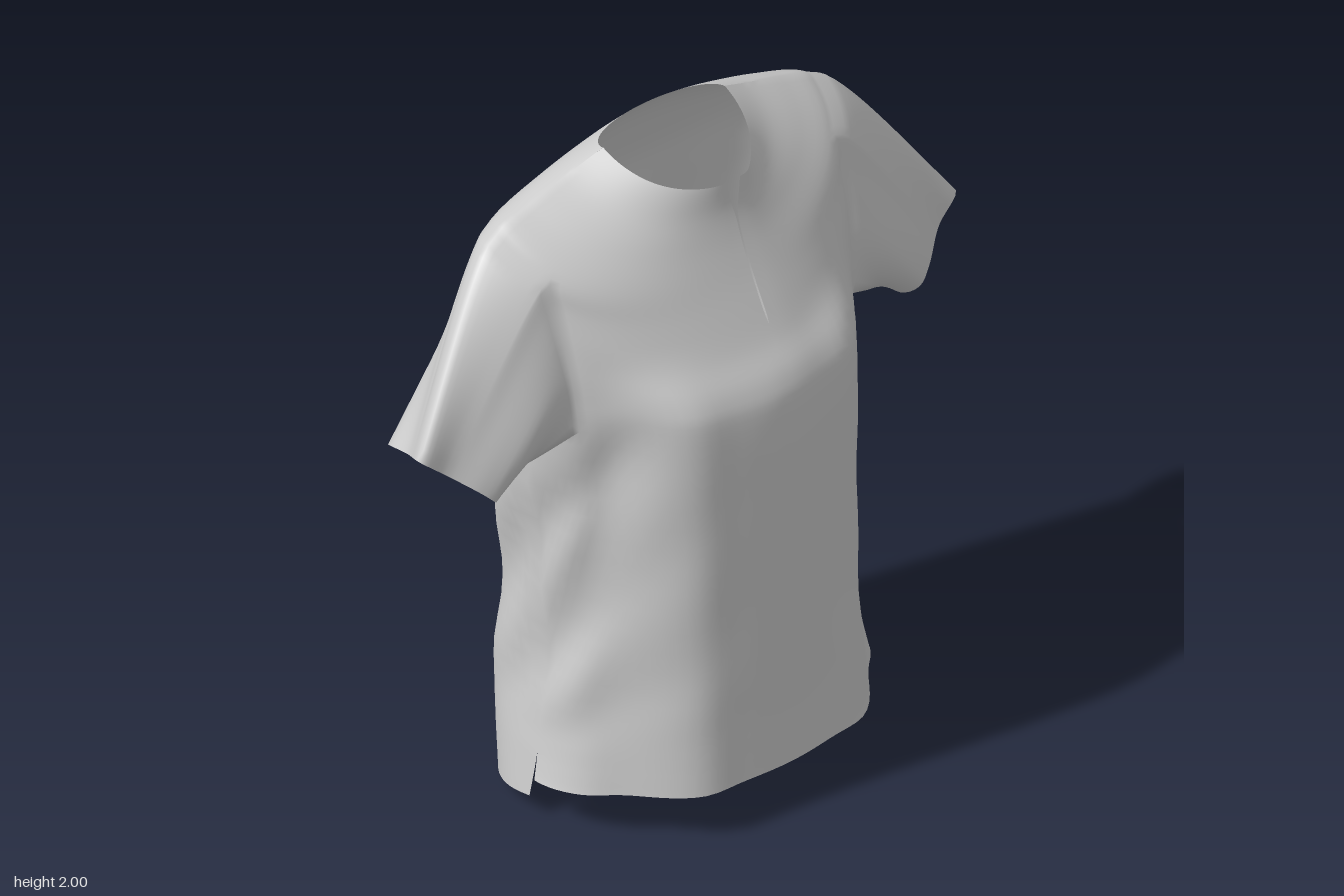
import * as THREE from 'three';
import { mergeVertices } from 'three/addons/utils/BufferGeometryUtils.js';

// Body rings, hem to neckline:
// ySide, yFront, yBack, halfWidth, zFront, zBack, zSide, front curve power, back curve power
const RINGS = [
  [0.10, 0.12, 0.03, 0.565, 0.415, -0.37, -0.01, 1, 0.8],
  [0.21, 0.24, 0.16, 0.545, 0.41, -0.395, -0.01, 1, 0.74],
  [0.36, 0.38, 0.34, 0.52, 0.405, -0.412, -0.015, 1, 0.68],
  [0.66, 0.66, 0.65, 0.495, 0.4, -0.395, -0.03, 1, 0.64],
  [1.00, 1.00, 1.00, 0.52, 0.395, -0.375, -0.06, 1, 0.6],
  [1.32, 1.27, 1.31, 0.55, 0.385, -0.355, -0.09, 1, 0.56],
  [1.47, 1.37, 1.45, 0.56, 0.36, -0.345, -0.1, 1, 0.55],
  [1.62, 1.46, 1.58, 0.57, 0.298, -0.335, -0.115, 1, 0.57],
  [1.77, 1.56, 1.71, 0.575, 0.243, -0.325, -0.135, 1, 0.64],
  [1.86, 1.65, 1.82, 0.57, 0.198, -0.295, -0.145, 0.98, 0.74],
  [1.91, 1.74, 1.90, 0.45, 0.16, -0.265, -0.14, 0.98, 0.84],
  [1.955, 1.82, 1.955, 0.32, 0.137, -0.235, -0.13, 0.98, 0.93],
  [2.00, 1.90, 1.985, 0.22, 0.13, -0.21, -0.11, 0.98, 1],
];
const STEP = 5, ROWS = (RINGS.length - 1) * STEP, COLS = 24;
// Armhole limits in the body grid
const HOLE = { bottom: 5 * STEP, top: 9 * STEP, front: 7, back: 8 };

// Sleeve opening, from its top crease round the back
const CUFF = new THREE.CatmullRomCurve3([
  [0.97, 1.36, -0.01], [0.92, 1.31, -0.12], [0.9, 1.28, -0.21], [0.85, 1.23, -0.265],
  [0.77, 1.165, -0.25], [0.74, 1.15, -0.1], [0.74, 1.15, 0.03], [0.77, 1.18, 0.07],
  [0.81, 1.22, 0.06], [0.89, 1.29, 0.01],
].map((p) => new THREE.Vector3(...p)), true);

const smooth = THREE.MathUtils.smoothstep;
const lerp = THREE.MathUtils.lerp;
const gauss = (d, w) => Math.exp(-(d * d) / (w * w));

// Catmull-Rom blend of the ring table
function ringAt(t) {
  const k = Math.min(Math.floor(t), RINGS.length - 2), f = t - k;
  const at = (n) => RINGS[THREE.MathUtils.clamp(n, 0, RINGS.length - 1)];
  return RINGS[0].map((_, c) => {
    const [a, b, d, e] = [at(k - 1)[c], at(k)[c], at(k + 1)[c], at(k + 2)[c]];
    return b + 0.5 * f * (d - a + f * (2 * a - 5 * b + 4 * d - e + f * (3 * (b - d) + e - a)));
  });
}

// Body point: side +1 left / -1 right, half +1 front / -1 back, column from side seam to centre
function bodyPoint(side, half, col, row) {
  const t = row / STEP, a = (col / COLS) * Math.PI / 2;
  const [ySide, yFront, yBack, w, zFront, zBack, zSide, pFront, pBack] = ringAt(t);
  const p = half > 0 ? pFront : pBack;
  const c = Math.pow(Math.max(Math.cos(a), 0), p), s = Math.pow(Math.sin(a), p);
  let x = w * c;
  let y = lerp(ySide, half > 0 ? yFront : yBack, s);
  let z = lerp(zSide, half > 0 ? zFront : zBack, s);

  // long diagonal drape folds across the flanks
  const flank = c * c * smooth(y, 0.25, 0.5) * (1 - smooth(y, 0.95, 1.25));
  x += 0.014 * flank * Math.cos((y - 0.75 - 1.4 * z) * 14);
  if (half > 0) {
    // flat front that turns in sharply beside the bust
    const flat = 1 - smooth(t, 5.5, 7.5);
    z += flat * s * (0.03 * gauss(x - 0.29, 0.09) - 0.05 * gauss(x - 0.46, 0.07));
    // tuck running down from the bust to the side
    const tuck = gauss(x - 0.43 - (1.22 - y) * 0.13, 0.05) * s
      * smooth(y, 0.5, 0.85) * (1 - smooth(y, 1.15, 1.4));
    x -= 0.03 * tuck;
    z -= 0.04 * tuck;
  } else {
    // soft vertical folds down the back
    z += 0.008 * s * Math.cos(x * 15) * smooth(y, 0.4, 0.8) * (1 - smooth(y, 1.4, 1.75));
  }
  // side vents: the front hem hangs shorter than the back
  if (t < 1) {
    y += half * 0.03 * (1 - t);
    z += half * 0.01 * (1 - t) * gauss(col, 3);
  }
  x *= side;
  // neck slit, a little off centre
  if (half > 0) {
    const near = gauss(x, 0.12);
    const gap = t > 7.4 ? 0.003 + 0.02 * smooth(t, 10.3, 12) : 0;
    x += near * 0.04 * smooth(t, 5, 7.4) + side * gap * gauss(x, 0.07);
  }
  return new THREE.Vector3(x, y, z);
}

// Armhole edge: top, back, bottom, front
function armhole(side) {
  const loop = [], { top, bottom, front, back } = HOLE;
  const add = (half, col, row) => loop.push(bodyPoint(side, half, col, row));
  for (let i = 0; i <= back; i++) add(-1, i, top);
  for (let r = top - 1; r >= bottom; r--) add(-1, back, r);
  for (let i = back - 1; i >= 0; i--) add(-1, i, bottom);
  for (let i = 1; i <= front; i++) add(1, i, bottom);
  for (let r = bottom + 1; r <= top; r++) add(1, front, r);
  for (let i = front - 1; i >= 1; i--) add(1, i, top);
  return loop;
}

export function createModel() {
  const data = [];
  const quad = (a, b, c, d, flip) => {
    for (const v of flip ? [a, d, c, a, c, b] : [a, b, c, a, c, d]) data.push(v.x, v.y, v.z);
  };
  const ranges = [];
  const part = (name, build) => {
    const start = data.length / 3;
    build();
    ranges.push({ name, start, end: data.length / 3 });
  };

  // front and back panels, with armholes left open
  for (const half of [1, -1]) {
    part(half > 0 ? 'frontPanel' : 'backPanel', () => {
      for (const side of [1, -1]) {
        const grid = [];
        for (let r = 0; r <= ROWS; r++) {
          grid.push(Array.from({ length: COLS + 1 }, (_, i) => bodyPoint(side, half, i, r)));
        }
        const holeCols = half > 0 ? HOLE.front : HOLE.back;
        for (let r = 0; r < ROWS; r++) {
          for (let i = 0; i < COLS; i++) {
            if (i < holeCols && r >= HOLE.bottom && r < HOLE.top) continue;
            quad(grid[r][i], grid[r][i + 1], grid[r + 1][i + 1], grid[r + 1][i], side * half > 0);
          }
        }
      }
    });
  }

  // sleeves lofted from armhole to cuff
  for (const side of [1, -1]) {
    part(side > 0 ? 'leftSleeve' : 'rightSleeve', () => {
      const loop = armhole(side), n = loop.length, K = 18;
      const lengths = [0];
      for (let j = 0; j < n; j++) lengths.push(lengths[j] + loop[j].distanceTo(loop[(j + 1) % n]));
      const rings = [];
      for (let k = 0; k <= K; k++) {
        const t = k / K, mid = Math.sin(Math.PI * t);
        rings.push(loop.map((p, j) => {
          if (k === 0) return p;
          const f = lengths[j] / lengths[n];
          const cuff = CUFF.getPointAt(f);
          cuff.x *= side;
          const v = p.clone().lerp(cuff, t);
          const upper = 0.5 + 0.5 * Math.cos(2 * Math.PI * f);
          // rounded shoulder cap, fuller front and back
          const cap = 0.025 * upper * Math.sin(Math.PI * Math.sqrt(t));
          v.x += side * cap;
          v.y += cap * 0.7;
          v.z += 0.02 * mid * (gauss(f - 0.7, 0.1) - gauss(f - 0.28, 0.12));
          return v;
        }));
      }
      for (let k = 0; k < K; k++) {
        for (let j = 0; j < n; j++) {
          const m = (j + 1) % n;
          quad(rings[k][j], rings[k][m], rings[k + 1][m], rings[k + 1][j], side > 0);
        }
      }
    });
  }

  // weld everything so shading flows across the seams, then split into named parts
  let cloth = new THREE.BufferGeometry();
  cloth.setAttribute('position', new THREE.Float32BufferAttribute(data, 3));
  cloth = mergeVertices(cloth, 1e-4);
  cloth.computeVertexNormals();
  const material = new THREE.MeshStandardMaterial({ color: 0xcccccc, side: THREE.DoubleSide });
  const group = new THREE.Group();
  group.name = 'shirt';
  for (const { name, start, end } of ranges) {
    const geometry = new THREE.BufferGeometry();
    geometry.setAttribute('position', cloth.attributes.position);
    geometry.setAttribute('normal', cloth.attributes.normal);
    geometry.setIndex(Array.from(cloth.index.array.slice(start, end)));
    const mesh = new THREE.Mesh(geometry, material);
    mesh.name = name;
    group.add(mesh);
  }
  return group;
}
